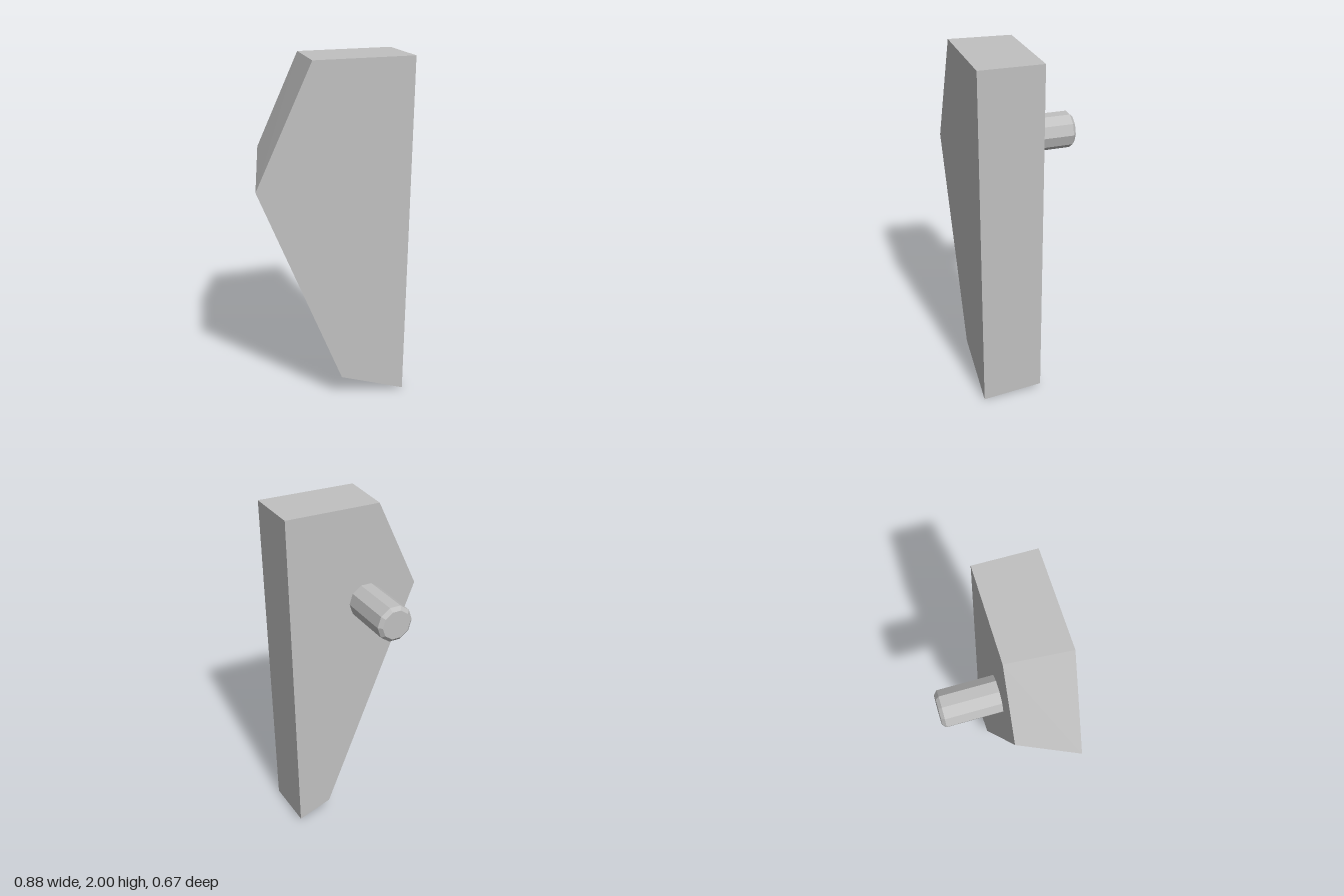
import * as THREE from 'three';
import { ConvexGeometry } from 'three/addons/geometries/ConvexGeometry.js';

export function createModel() {
  const model = new THREE.Group();
  const grey = new THREE.MeshStandardMaterial({ color: 0xc0c0c0, flatShading: true });
  grey.name = 'light grey';

  // Panel: two parallel outlines, the rear one smaller so the angled edges are bevelled
  const frontZ = 0.336, backZ = -0.01;
  const frontOutline = [[0.44, 2], [-0.13, 2], [-0.44, 1.335], [0.05, 0.145], [0.44, 0]];
  const backOutline = [[0.44, 2], [-0.105, 2], [-0.34, 1.49], [0.24, 0.102], [0.44, 0.03]];
  const corners = [
    ...frontOutline.map(([x, y]) => new THREE.Vector3(x, y, frontZ)),
    ...backOutline.map(([x, y]) => new THREE.Vector3(x, y, backZ)),
  ];
  const panel = new THREE.Mesh(new ConvexGeometry(corners), grey);
  panel.name = 'panel';
  model.add(panel);

  // Peg: ten-sided, with a chamfered tip, pointing backwards
  const profile = [[0, 0], [0.105, 0], [0.105, 0.31], [0.084, 0.329], [0, 0.329]]
    .map(([r, h]) => new THREE.Vector2(r, h));
  const pegGeometry = new THREE.LatheGeometry(profile, 10, Math.PI / 2);
  pegGeometry.rotateX(-Math.PI / 2);
  const peg = new THREE.Mesh(pegGeometry, grey);
  peg.name = 'peg';
  peg.position.set(-0.025, 1.447, backZ);
  model.add(peg);

  return model;
}
